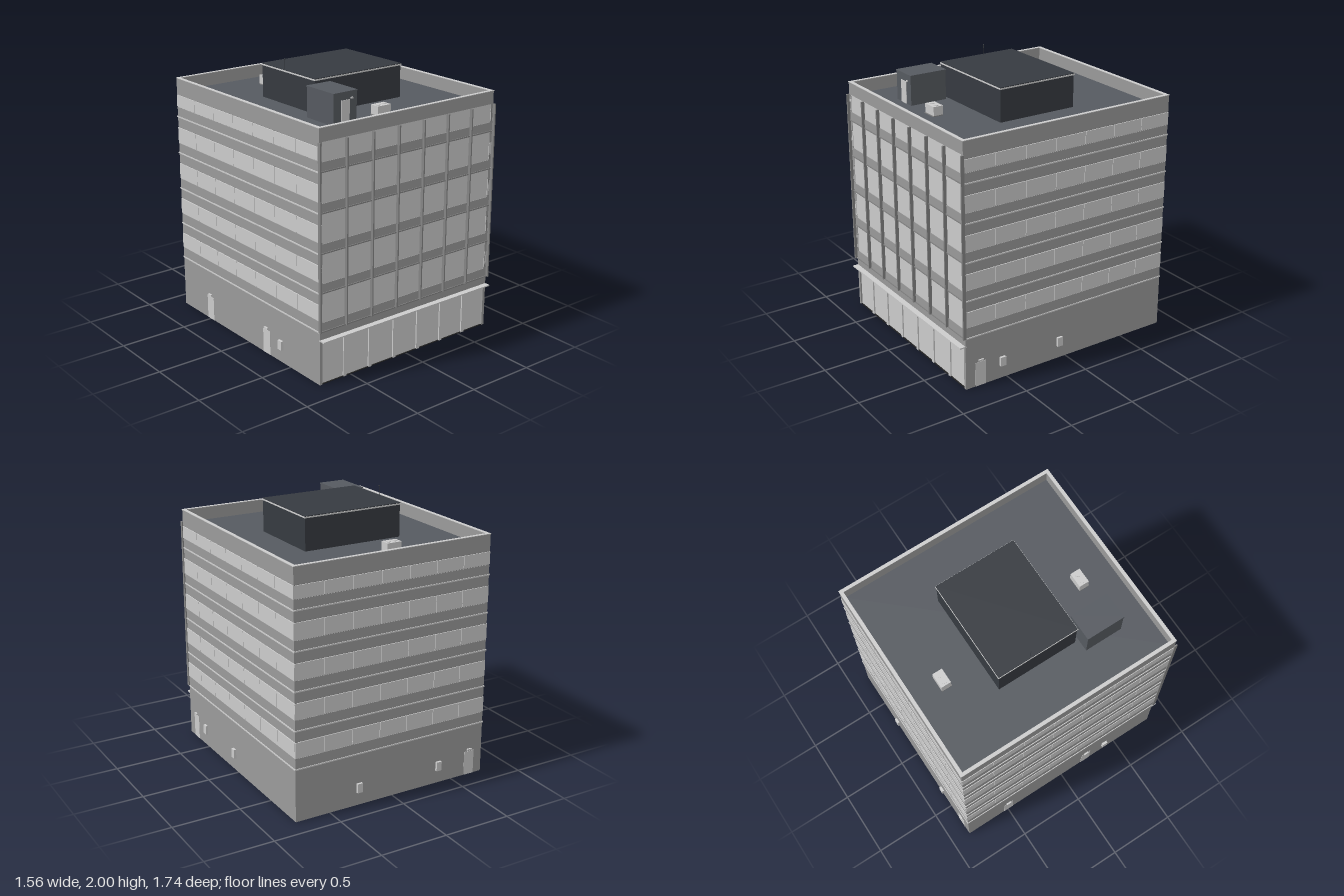
import * as THREE from 'three';

const W = 0.762, FRONT = 0.828, BACK = -0.855, T = 0.022;   // outer wall faces and wall thickness
const WALL_TOP = 1.775, ROOF = 1.68, FLOOR = 0.274, BAYS = 7;

const paint = (color) => new THREE.MeshStandardMaterial({ color });
const LIGHT = paint(0xcccccc), WALL = paint(0x9a9a9a), TRIM = paint(0x858585);
const ROOFING = paint(0x565a60), DARK = paint(0x363a40), BLACK = paint(0x222222);

// Box given by its limits on each axis
function box(parent, name, x0, x1, y0, y1, z0, z1, material) {
  const mesh = new THREE.Mesh(new THREE.BoxGeometry(x1 - x0, y1 - y0, z1 - z0), material);
  mesh.position.set((x0 + x1) / 2, (y0 + y1) / 2, (z0 + z1) / 2);
  mesh.name = name;
  parent.add(mesh);
  return mesh;
}

// Box on a wall: u runs along the wall (x or z), d is the distance outward from its face
function onWall(parent, side, name, u0, u1, y0, y1, d0, d1, material) {
  if (side === 'left') return box(parent, name, W + d0, W + d1, y0, y1, u0, u1, material);
  if (side === 'right') return box(parent, name, -W - d1, -W - d0, y0, y1, u0, u1, material);
  if (side === 'back') return box(parent, name, u0, u1, y0, y1, BACK - d1, BACK - d0, material);
  return box(parent, name, u0, u1, y0, y1, FRONT + d0, FRONT + d1, material);
}

function group(parent, name) {
  const g = new THREE.Group();
  g.name = name;
  parent.add(g);
  return g;
}

// Solid wall bands and window strips of the two sides and the back
function buildBandedWall(parent, side) {
  const g = group(parent, side + 'Wall');
  const [u0, u1] = side === 'back' ? [-W + T, W - T] : [BACK, FRONT];
  const [p0, p1] = side === 'back' ? [-W, W] : [BACK, FRONT];
  const tops = [0.582, 0.858, 1.132, 1.407, 1.652];
  let y = 0;
  tops.forEach((top, i) => {
    const sill = 0.462 + i * 0.2733;
    onWall(g, side, 'wallBand', u0, u1, y, sill, -T, 0, WALL);
    onWall(g, side, 'windowFrame', u0, u1, sill, top, -T + 0.004, -0.004, TRIM);
    const bay = (p1 - p0) / BAYS;
    for (let b = 0; b < BAYS; b++) {
      const start = p0 + b * bay + (b ? 0.002 : 0);
      const end = p0 + (b + 1) * bay - (b < BAYS - 1 ? 0.002 : 0);
      onWall(g, side, 'windowPane', start, end, sill + 0.004, top - 0.004, -T, 0.003, LIGHT);
    }
    y = top;
  });
  onWall(g, side, 'wallBand', u0, u1, y, WALL_TOP - 0.004, -T, 0, WALL);
}

// Curtain wall with spandrels and fins above a glazed ground floor
function buildFront(parent) {
  const g = group(parent, 'frontWall');
  const a = -W + T, b = W - T, bay = 0.2187;
  onWall(g, 'front', 'signBand', a, b, 0.324, 0.385, -T, 0, WALL);
  for (let i = 0; i < 5; i++) {
    const y = 0.385 + i * 0.275;
    if (i < 5) onWall(g, 'front', 'spandrel', a, b, y, y + 0.064, -T, 0, WALL);
    const top = i < 4 ? y + 0.275 : ROOF;
    for (let k = 0; k < BAYS; k++) {
      const x = (k - 3) * bay;
      onWall(g, 'front', 'curtainPane', Math.max(x - bay / 2, a), Math.min(x + bay / 2, b),
        y + 0.064, top, -T + 0.004, -0.004, LIGHT);
    }
  }
  onWall(g, 'front', 'fascia', a, b, ROOF, WALL_TOP - 0.004, -T, 0, WALL);
  for (let k = 0; k <= BAYS; k++) {
    const x = (k - 3.5) * bay;
    const edge = k === 0 || k === BAYS;
    onWall(g, 'front', 'fin', x - 0.005, x + 0.005, 0.385, ROOF, -0.004, 0.02, TRIM);
    if (!edge) onWall(g, 'front', 'shopPillar', x - 0.013, x + 0.013, 0, 0.324, -0.03, -0.002, LIGHT);
  }
  onWall(g, 'front', 'shopGlass', a, b, 0.004, 0.324, -0.02, -0.012, LIGHT);
  onWall(g, 'front', 'threshold', a, b, 0, 0.004, -0.035, -0.003, BLACK);
  onWall(g, 'front', 'canopy', -W, W, 0.32, 0.329, -0.01, 0.042, LIGHT);
}

// Door with a lamp above it
function buildDoor(parent, side, u) {
  const g = group(parent, side + 'Door');
  onWall(g, side, 'doorLeaf', u - 0.041, u + 0.041, 0, 0.18, -T - 0.002, 0.002, LIGHT);
  onWall(g, side, 'doorLamp', u - 0.019, u + 0.019, 0.189, 0.2, 0, 0.012, LIGHT);
}

// Rooftop air unit with a fan on top
function buildAirUnit(parent, x, z) {
  const g = group(parent, 'airUnit');
  box(g, 'airUnitCase', x - 0.056, x + 0.056, ROOF + 0.006, ROOF + 0.07, z - 0.037, z + 0.037, LIGHT);
  box(g, 'airUnitBase', x - 0.06, x + 0.056, ROOF, ROOF + 0.006, z - 0.037, z + 0.041, TRIM);
  for (const dx of [-0.027, 0.027]) {
    const fan = new THREE.Mesh(new THREE.CylinderGeometry(0.018, 0.018, 0.004, 16), LIGHT);
    fan.position.set(x + dx, ROOF + 0.072, z);
    fan.name = 'airUnitFan';
    g.add(fan);
  }
}

function buildRoof(parent) {
  const g = group(parent, 'roof');
  box(g, 'roofDeck', -W + T, W - T, ROOF - 0.02, ROOF, BACK + T, FRONT - T, ROOFING);

  // Light coping on the parapet
  for (const side of ['left', 'right']) {
    onWall(g, side, 'coping', BACK - 0.003, FRONT + 0.002, WALL_TOP - 0.004, WALL_TOP, -T, 0.003, LIGHT);
  }
  for (const side of ['front', 'back']) {
    onWall(g, side, 'coping', -W + T, W - T, WALL_TOP - 0.004, WALL_TOP, -T - 0.001, 0.002, LIGHT);
  }

  // Plant room and mast
  box(g, 'plantRoom', -0.378, 0.376, ROOF, 1.91, -0.319, 0.287, DARK);
  box(g, 'plantRoomTrim', -0.384, 0.382, 1.91, 1.92, -0.325, 0.293, LIGHT);
  box(g, 'plantRoomCap', -0.381, 0.379, 1.92, 1.925, -0.322, 0.29, DARK);
  const mast = new THREE.Mesh(new THREE.CylinderGeometry(0.002, 0.002, 0.07, 8), DARK);
  mast.position.set(-0.368, 1.96, -0.067);
  mast.name = 'mast';
  const tip = new THREE.Mesh(new THREE.SphereGeometry(0.005, 10, 8), DARK);
  tip.position.set(-0.368, 1.995, -0.067);
  tip.name = 'mastTip';
  g.add(mast, tip);

  // Stair house with door and lamp
  box(g, 'stairHouse', -0.467, -0.273, ROOF, 1.89, 0.315, 0.597, ROOFING);
  box(g, 'stairHouseCap', -0.471, -0.269, 1.89, 1.898, 0.311, 0.601, ROOFING);
  box(g, 'stairDoor', -0.404, -0.334, ROOF, 1.842, 0.59, 0.6, LIGHT);
  box(g, 'stairDoorLamp', -0.325, -0.31, 1.845, 1.855, 0.597, 0.606, LIGHT);

  buildAirUnit(g, -0.127, -0.603);
  buildAirUnit(g, -0.031, 0.557);
}

export function createModel() {
  const model = new THREE.Group();
  model.name = 'officeBuilding';
  for (const side of ['left', 'right', 'back']) buildBandedWall(model, side);
  buildFront(model);

  // Thin string courses around every floor
  for (let i = 0; i < 5; i++) {
    const y = 0.385 + i * 0.275;
    for (const side of ['left', 'right']) {
      onWall(model, side, 'stringCourse', BACK - 0.005, FRONT + 0.005, y - 0.005, y + 0.004, -0.004, 0.005, LIGHT);
    }
    for (const side of ['front', 'back']) {
      onWall(model, side, 'stringCourse', -W, W, y - 0.005, y + 0.004, -0.004, 0.005, side === 'front' ? TRIM : LIGHT);
    }
  }

  // Doors and wall boxes
  for (const [side, u] of [['left', 0.71], ['right', -0.495], ['right', 0.222], ['back', -0.655]]) buildDoor(model, side, u);
  for (const [side, u] of [['left', 0.535], ['left', 0.055], ['right', 0.395], ['back', -0.385], ['back', 0.27]]) {
    onWall(model, side, 'wallBox', u - 0.021, u + 0.021, 0.097, 0.165, -0.005, 0.018, LIGHT);
  }

  buildRoof(model);
  return model;
}
